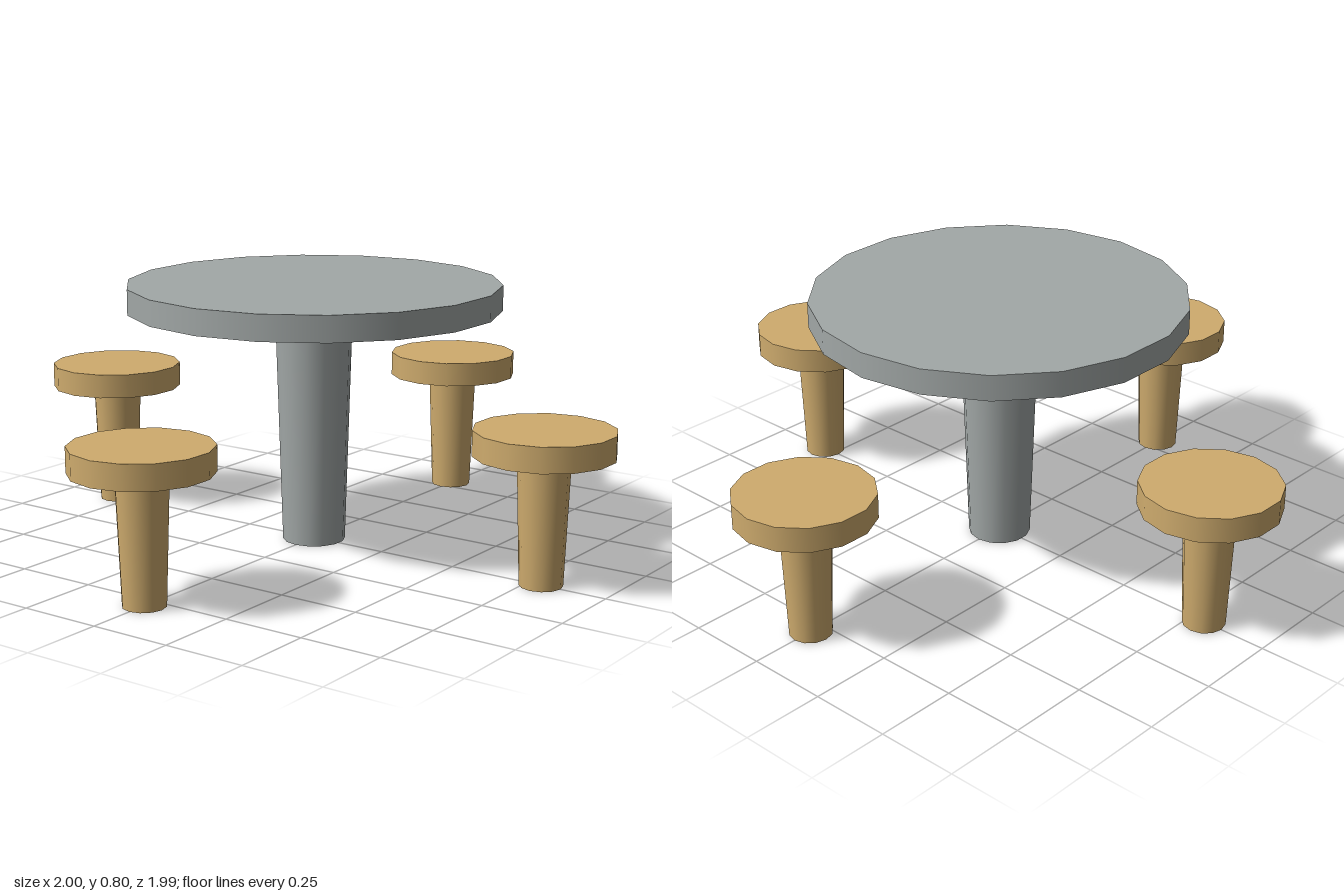
import * as THREE from 'three';

const stone = new THREE.MeshStandardMaterial({ color: 0xa2a8a7 });
const wood = new THREE.MeshStandardMaterial({ color: 0xcfac6e });

// Upright capped cylinder from y0 to y1, with a corner pointing along +x
function disc(name, rTop, rBottom, y0, y1, sides, material) {
  const geometry = new THREE.CylinderGeometry(rTop, rBottom, y1 - y0, sides, 1, false, Math.PI / 2);
  const mesh = new THREE.Mesh(geometry, material);
  mesh.name = name;
  mesh.position.y = (y0 + y1) / 2;
  return mesh;
}

function createStool(name, x, z) {
  const stool = new THREE.Group();
  stool.name = name;
  stool.add(
    disc('seat', 0.205, 0.205, 0.38, 0.455, 14, wood),
    disc('stoolLeg', 0.077, 0.063, 0, 0.38, 12, wood)
  );
  stool.position.set(x, 0, z);
  return stool;
}

export function createModel() {
  const model = new THREE.Group();
  model.name = 'tableWithStools';

  // Round table on a tapered pedestal
  const table = new THREE.Group();
  table.name = 'table';
  table.add(
    disc('tableTop', 0.563, 0.563, 0.718, 0.795, 18, stone),
    disc('pedestal', 0.117, 0.095, 0, 0.718, 14, stone)
  );
  model.add(table);

  // One stool on each side
  const d = 0.795;
  const places = [['leftStool', d, 0], ['rightStool', -d, 0], ['frontStool', 0, d], ['backStool', 0, -d]];
  for (const [name, x, z] of places) model.add(createStool(name, x, z));

  return model;
}
